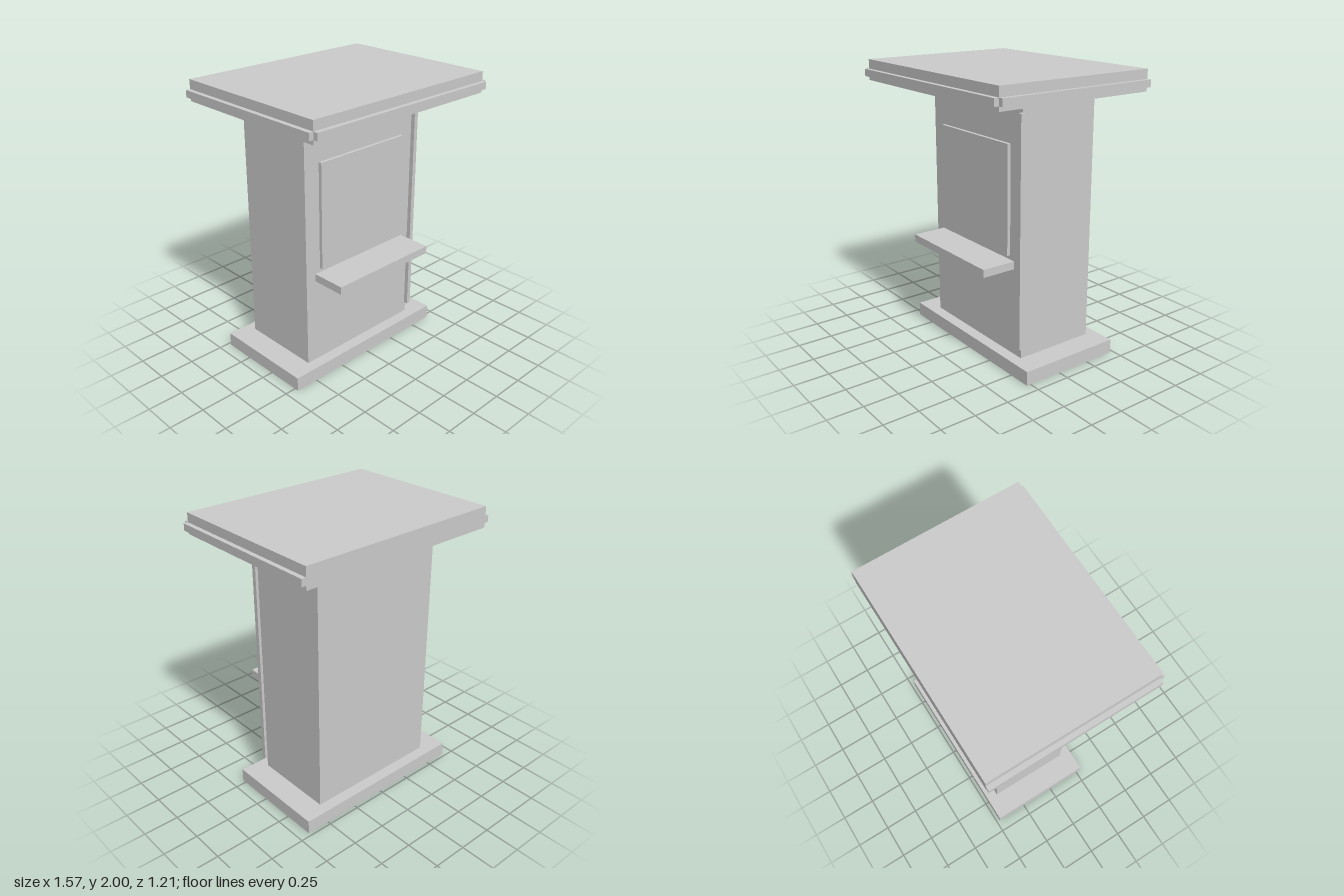
import * as THREE from 'three';

export function createModel() {
  const model = new THREE.Group();
  const grey = new THREE.MeshStandardMaterial({ color: 0xcccccc, side: THREE.DoubleSide });
  grey.name = 'light grey';

  // Box given by its limits on each axis
  function box(name, [x0, x1], [y0, y1], [z0, z1]) {
    const geometry = new THREE.BoxGeometry(x1 - x0, y1 - y0, z1 - z0);
    const mesh = new THREE.Mesh(geometry, grey);
    mesh.position.set((x0 + x1) / 2, (y0 + y1) / 2, (z0 + z1) / 2);
    mesh.name = name;
    model.add(mesh);
    return mesh;
  }

  // Plinth: a thin shell, open underneath
  const plinth = box('plinth', [-0.67, 0.67], [0, 0.1], [-0.475, 0.28]);
  const index = Array.from(plinth.geometry.index.array);
  index.splice(18, 6); // drop the bottom face
  plinth.geometry.setIndex(index);
  plinth.geometry.clearGroups();

  // Kiosk body
  box('body', [-0.5, 0.5], [0.1, 1.85], [-0.395, 0.198]);

  // Front fittings
  box('windowPanel', [-0.38, 0.377], [0.805, 1.557], [0.198, 0.222]);
  box('counterShelf', [-0.422, 0.42], [0.72, 0.775], [0.198, 0.445]);
  box('cornerTrim', [0.488, 0.52], [0.175, 1.77], [0.197, 0.228]);

  // Roof slab with a trim band on the front and both sides
  box('roofSlab', [-0.755, 0.755], [1.855, 2], [-0.605, 0.572]);
  box('frontRoofTrim', [-0.755, 0.755], [1.886, 1.935], [0.572, 0.605]);
  box('leftRoofTrim', [0.755, 0.787], [1.886, 1.935], [-0.605, 0.572]);
  box('rightRoofTrim', [-0.787, -0.755], [1.886, 1.935], [-0.605, 0.572]);

  return model;
}
